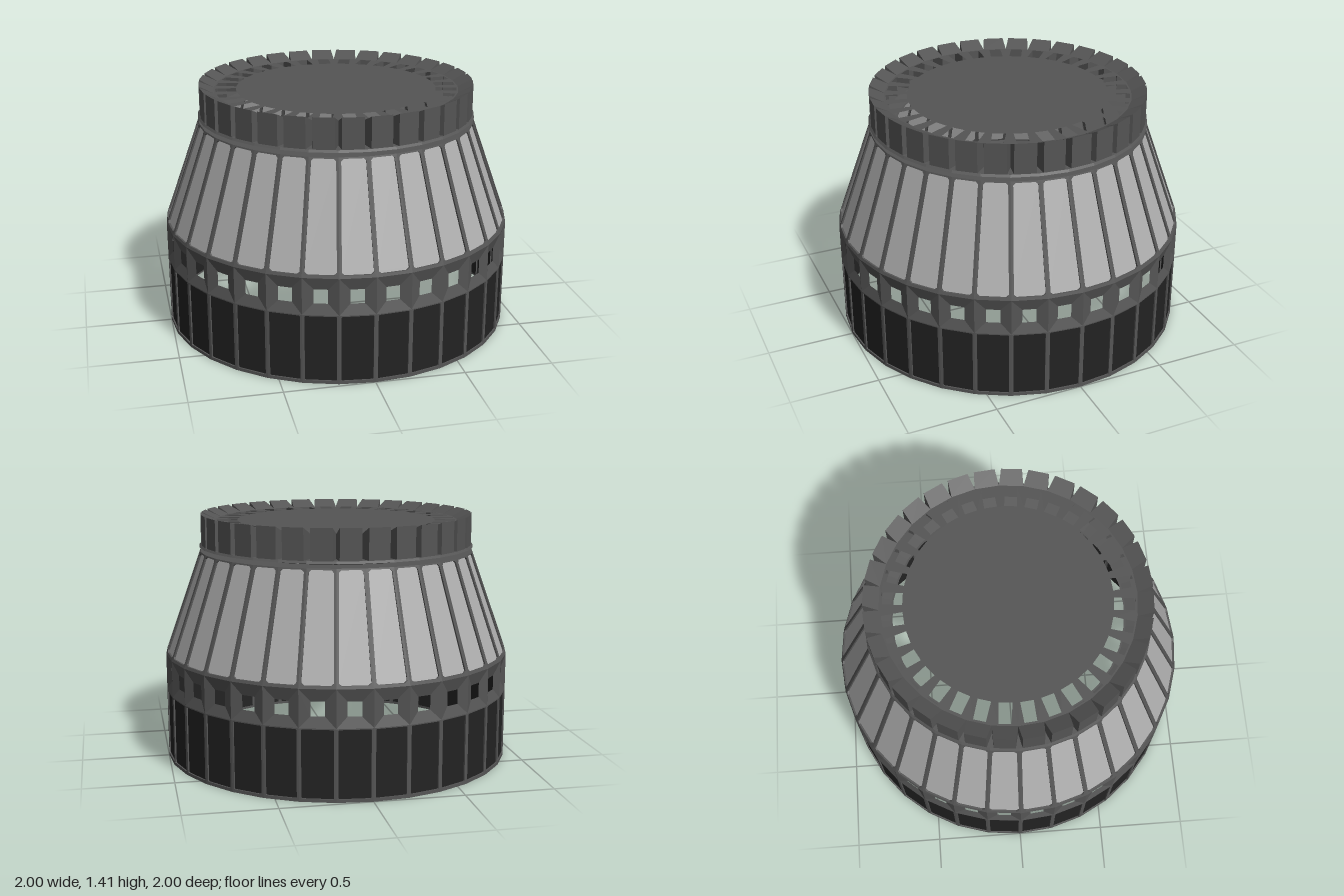
import * as THREE from 'three';
import { mergeGeometries } from 'three/addons/utils/BufferGeometryUtils.js';

const SIDES = 32;
const HALF = Math.PI / SIDES;
const S = Math.sin(HALF), C = Math.cos(HALF);

const makeMat = (name, color) => {
  const m = new THREE.MeshStandardMaterial({ color, side: THREE.DoubleSide });
  m.name = name;
  return m;
};

// Flat-shaded geometry from convex polygons (counter-clockwise from outside)
function facets(polys) {
  const pos = [];
  for (const p of polys)
    for (let i = 1; i < p.length - 1; i++) pos.push(...p[0], ...p[i], ...p[i + 1]);
  const g = new THREE.BufferGeometry();
  g.setAttribute('position', new THREE.Float32BufferAttribute(pos, 3));
  g.computeVertexNormals();
  return g;
}

// Strip of quads joining two loops with the same number of points
const bridge = (a, b) => a.map((p, i) => {
  const j = (i + 1) % a.length;
  return [p, a[j], b[j], b[i]];
});

// Repeats one facet (facing +z) around the body
function around(polys) {
  const cell = facets(polys);
  const copies = [];
  for (let i = 0; i < SIDES; i++) copies.push(cell.clone().rotateY((2 * i + 1) * HALF));
  return mergeGeometries(copies);
}

// Corners of one facet between two heights and radii
const facet = (y0, r0, y1, r1) => [
  [-r0 * S, y0, r0 * C], [r0 * S, y0, r0 * C], [r1 * S, y1, r1 * C], [-r1 * S, y1, r1 * C],
];

// Frame with a sunken panel; corners are clipped by cut
function framedPanel(y0, r0, y1, r1, side, bottom, top, cut, depth) {
  const at = (y, w, d = 0) => {
    const r = r0 + (r1 - r0) * (y - y0) / (y1 - y0);
    return [w * (r * S - side), y, r * C - d];
  };
  const a = y0 + bottom, b = y1 - top;
  const k = 1 - cut / (r1 * S - side);
  const loop = d => [
    at(a + cut, -1, d), at(a, -k, d), at(a, k, d), at(a + cut, 1, d),
    at(b - cut, 1, d), at(b, k, d), at(b, -k, d), at(b - cut, -1, d),
  ];
  const [p, q, r, s] = facet(y0, r0, y1, r1);
  const rim = loop(0), sunk = loop(depth);
  return {
    frame: [...bridge([p, p, q, q, r, r, s, s], rim), ...bridge(rim, sunk)],
    panel: [sunk],
  };
}

export function createModel() {
  const grey = makeMat('frame grey', 0x555555);
  const dark = makeMat('dark panel', 0x232323);
  const light = makeMat('light panel', 0xaeaeae);
  const group = new THREE.Group();
  group.name = 'ribbedDrum';
  const add = (name, geometry, material) => {
    const m = new THREE.Mesh(geometry, material);
    m.name = name;
    group.add(m);
  };
  const band = (name, points) => {
    const g = new THREE.LatheGeometry(points.map(p => new THREE.Vector2(...p)), SIDES).toNonIndexed();
    g.computeVertexNormals();
    add(name, g, grey);
  };

  // Lower skirt with dark panels
  const skirt = framedPanel(0, 1, 0.4, 1, 0.012, 0.018, 0.006, 0.004, 0.008);
  add('skirtFrame', around(skirt.frame), grey);
  add('skirtPanels', around(skirt.panel), dark);

  // Window band: funnel-shaped surrounds with open square windows
  const wz = 0.976;
  const hole = [[-0.038, 0.46, wz], [0.038, 0.46, wz], [0.038, 0.54, wz], [-0.038, 0.54, wz]];
  add('windowBand', around(bridge(facet(0.4, 1, 0.61, 1), hole)), grey);

  // Tapered shell with light panels between ribs
  const shell = framedPanel(0.61, 1, 1.2, 0.79, 0.013, 0.015, 0.008, 0.012, 0.01);
  add('shellFrame', around(shell.frame), grey);
  add('shellPanels', around(shell.panel), light);
  band('shellTopRing', [[0.79, 1.198], [0.64, 1.198]]);

  // Cap underside and lip
  band('capLip', [[0.65, 1.2], [0.795, 1.225], [0.785, 1.237], [0.7, 1.237]]);

  // Teeth around the cap, with V grooves between them
  const ro = 0.785, ri = 0.7, yb = 1.235, yt = 1.41, yd = 1.37;
  const w = ro * S - 0.018;
  const outer = [[-w, yb, ro * C], [w, yb, ro * C], [w, yt, ro * C], [-w, yt, ro * C]];
  const inner = facet(yb, ri, yd, ri);
  add('capTeeth', around([
    outer,
    [outer[1], inner[1], inner[2], outer[2]],
    [inner[0], outer[0], outer[3], inner[3]],
    [outer[3], outer[2], inner[2], inner[3]],
  ]), grey);

  // Sunken cap disc with a ring of vent slots
  const polar = (n, t, a) => new THREE.Vector2(
    n * Math.cos(a) - t * Math.sin(a), n * Math.sin(a) + t * Math.cos(a));
  const disc = new THREE.Shape(
    Array.from({ length: SIDES }, (_, i) => polar(ri, 0, 2 * i * HALF)));
  for (let i = 0; i < SIDES; i++) {
    const a = (2 * i + 1) * HALF;
    disc.holes.push(new THREE.Path([
      polar(0.57, -0.036, a), polar(0.57, 0.036, a), polar(0.688, 0.034, a), polar(0.688, -0.034, a),
    ]));
  }
  add('capDisc', new THREE.ShapeGeometry(disc).rotateX(-Math.PI / 2).translate(0, yd, 0), grey);

  return group;
}
